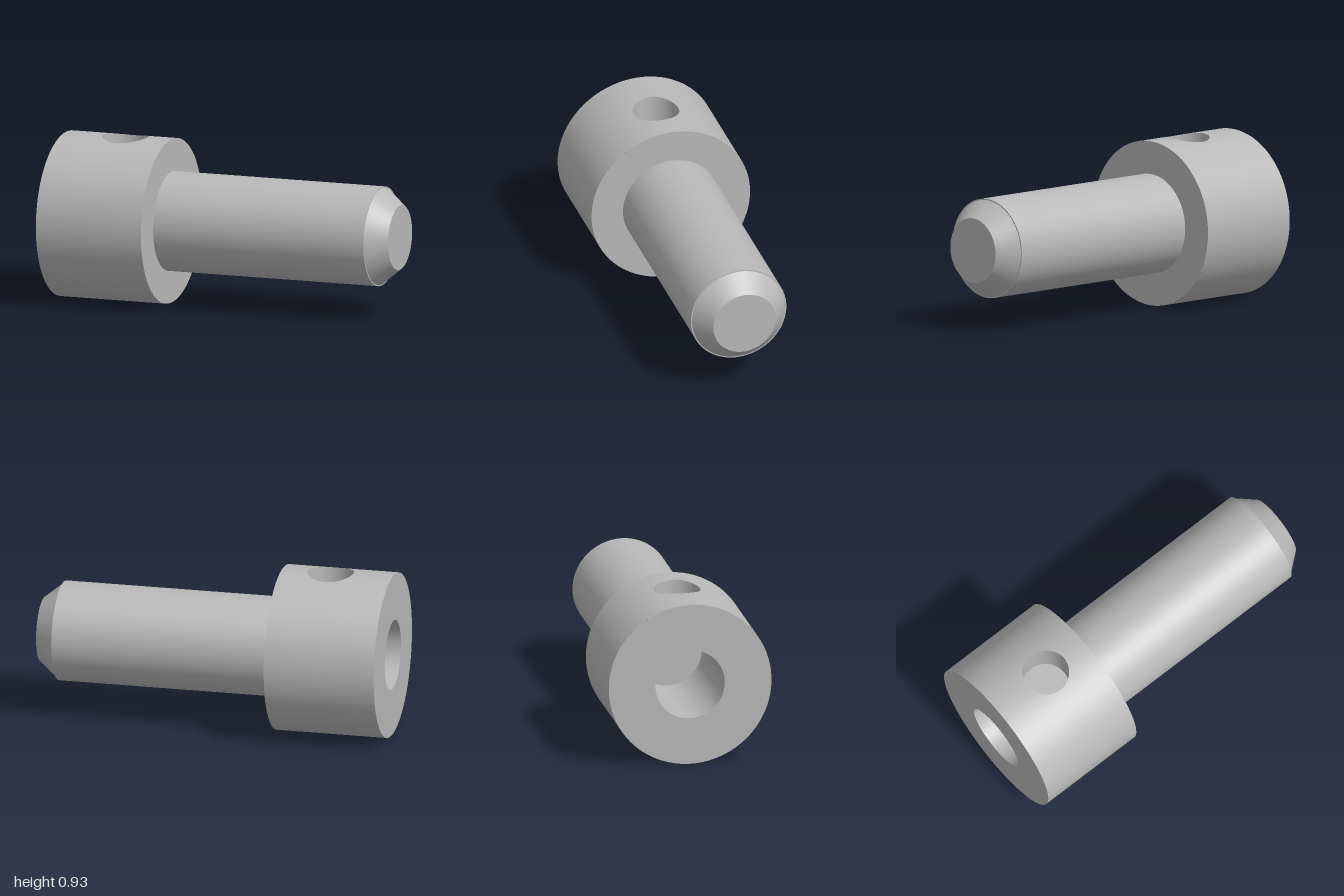
import * as THREE from 'three';
import { mergeGeometries } from 'three/addons/utils/BufferGeometryUtils.js';

const HEAD_R = 0.463, X0 = -1, X1 = -0.37;        // head radius and ends
const HOLE_X = -0.645, HOLE_R = 0.13, HOLE_FLOOR = 0.232;
const PATCH_Z = 0.25;                             // half width of the wall patch around the hole
const SEG = 128;

// Turns [radius, x] profile points around the x axis; each segment keeps sharp edges
function revolve(points) {
  const parts = [];
  for (let i = 0; i < points.length - 1; i++) {
    const pair = [points[i], points[i + 1]].map(([r, x]) => new THREE.Vector2(r, x));
    parts.push(new THREE.LatheGeometry(pair, SEG));
  }
  return mergeGeometries(parts).rotateZ(-Math.PI / 2);
}

// Surface over angles (u) and rows (v); fn gives [position, normal]
function surface(angles, rows, fn) {
  const pos = [], nor = [], index = [], w = rows + 1;
  angles.forEach((a, i) => {
    for (let j = 0; j <= rows; j++) {
      const [p, n] = fn(a, j / rows);
      pos.push(...p);
      nor.push(...n);
      if (i < angles.length - 1 && j < rows) {
        const k = i * w + j;
        index.push(k, k + w, k + 1, k + w, k + w + 1, k + 1);
      }
    }
  });
  const g = new THREE.BufferGeometry();
  g.setAttribute('position', new THREE.Float32BufferAttribute(pos, 3));
  g.setAttribute('normal', new THREE.Float32BufferAttribute(nor, 3));
  g.setIndex(index);
  return g;
}

const wallY = (z) => Math.sqrt(HEAD_R * HEAD_R - z * z);

export function createModel() {
  const group = new THREE.Group();
  group.name = 'steppedPin';
  const steel = new THREE.MeshStandardMaterial({ color: 0xb8b8b8 });
  steel.name = 'steel grey';
  const add = (name, geometry) => {
    const mesh = new THREE.Mesh(geometry, steel);
    mesh.name = name;
    mesh.position.y = HEAD_R;
    group.add(mesh);
  };

  // Blind bore and rear face of the head
  add('boreAndRearFace', revolve([[0, X1], [0.197, X1], [0.197, X0], [HEAD_R, X0]]));

  // Front shoulder of the head, shank and chamfered tip
  add('shoulder', revolve([[HEAD_R, X1], [0.279, X1]]));
  add('shank', revolve([[0.279, X1], [0.279, 0.89], [0.272, 0.89]]));
  add('tip', revolve([[0.272, 0.89], [0.182, 1], [0, 1]]));

  // Head wall, left open along the top for the drilled patch
  const half = Math.asin(PATCH_Z / HEAD_R);
  const wall = new THREE.CylinderGeometry(HEAD_R, HEAD_R, X1 - X0, SEG, 1, true,
    -Math.PI / 2 + half, Math.PI * 2 - half * 2);
  add('headWall', wall.rotateZ(-Math.PI / 2).translate((X0 + X1) / 2, 0, 0));

  // Angles around the hole, including the corners of the patch
  const angles = [];
  for (let i = 0; i <= SEG; i++) angles.push((i / SEG) * Math.PI * 2 - Math.PI);
  for (const x of [X0, X1]) {
    for (const z of [-PATCH_Z, PATCH_Z]) angles.push(Math.atan2(z, x - HOLE_X));
  }
  angles.sort((a, b) => a - b);

  // Curved patch running from the hole rim to the patch outline
  add('drilledWall', surface(angles, 10, (a, t) => {
    const c = Math.cos(a), s = Math.sin(a);
    const reachX = (c > 0 ? X1 - HOLE_X : HOLE_X - X0) / Math.max(Math.abs(c), 1e-6);
    const reachZ = PATCH_Z / Math.max(Math.abs(s), 1e-6);
    const r = THREE.MathUtils.lerp(HOLE_R, Math.min(reachX, reachZ), t);
    const z = s * r, y = wallY(z);
    return [[HOLE_X + c * r, y, z], [0, y / HEAD_R, z / HEAD_R]];
  }));

  // Side and flat floor of the radial hole
  add('radialHoleSide', surface(angles, 1, (a, t) => {
    const c = Math.cos(a), s = Math.sin(a), z = s * HOLE_R;
    const y = THREE.MathUtils.lerp(HOLE_FLOOR, wallY(z), t);
    return [[HOLE_X + c * HOLE_R, y, z], [-c, 0, -s]];
  }));
  add('radialHoleFloor', new THREE.CircleGeometry(HOLE_R, SEG)
    .rotateX(-Math.PI / 2).translate(HOLE_X, HOLE_FLOOR, 0));

  return group;
}
